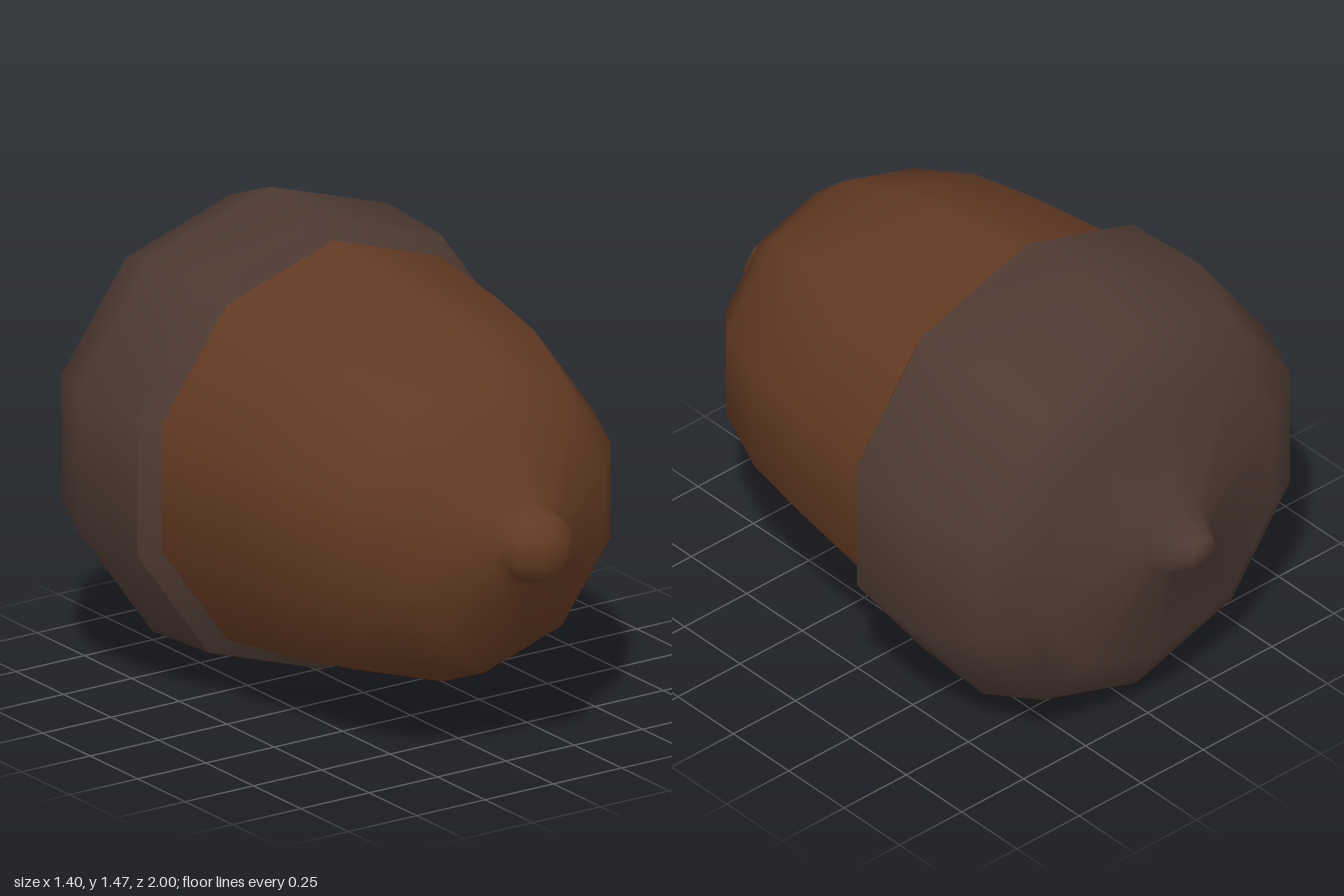
import * as THREE from 'three';

const SIDES = 10;
const AXIS_HEIGHT = 0.737;

const nutBrown = new THREE.MeshStandardMaterial({ color: 0x633a23 });
nutBrown.name = 'nutBrown';
const capBrown = new THREE.MeshStandardMaterial({ color: 0x4e3b32 });
capBrown.name = 'capBrown';

// Turned part lying along z; profile holds [radius, z] pairs, back to front
function turned(name, profile, material) {
  const points = profile.map(([r, z]) => new THREE.Vector2(r, z));
  const geometry = new THREE.LatheGeometry(points, SIDES);
  geometry.rotateX(Math.PI / 2);
  geometry.translate(0, AXIS_HEIGHT, 0);
  const mesh = new THREE.Mesh(geometry, material);
  mesh.name = name;
  return mesh;
}

export function createModel() {
  const acorn = new THREE.Group();
  acorn.name = 'acorn';

  // Smooth nut running into a small rounded tip
  acorn.add(turned('nut', [
    [0.66, -0.16], [0.62, 0.18], [0.58, 0.41], [0.49, 0.63], [0.38, 0.75],
    [0.14, 0.87], [0.115, 0.905], [0.105, 0.96], [0.05, 1], [0, 1],
  ], nutBrown));

  // Cup with its short tapering stem
  acorn.add(turned('cap', [
    [0, -1], [0.05, -1], [0.125, -0.88], [0.485, -0.8], [0.65, -0.7],
    [0.735, -0.49], [0.72, -0.205],
  ], capBrown));

  // Bevelled lip of the cup, kept apart for crisp edges
  acorn.add(turned('capRim', [[0.72, -0.205], [0.66, -0.16]], capBrown));

  return acorn;
}
